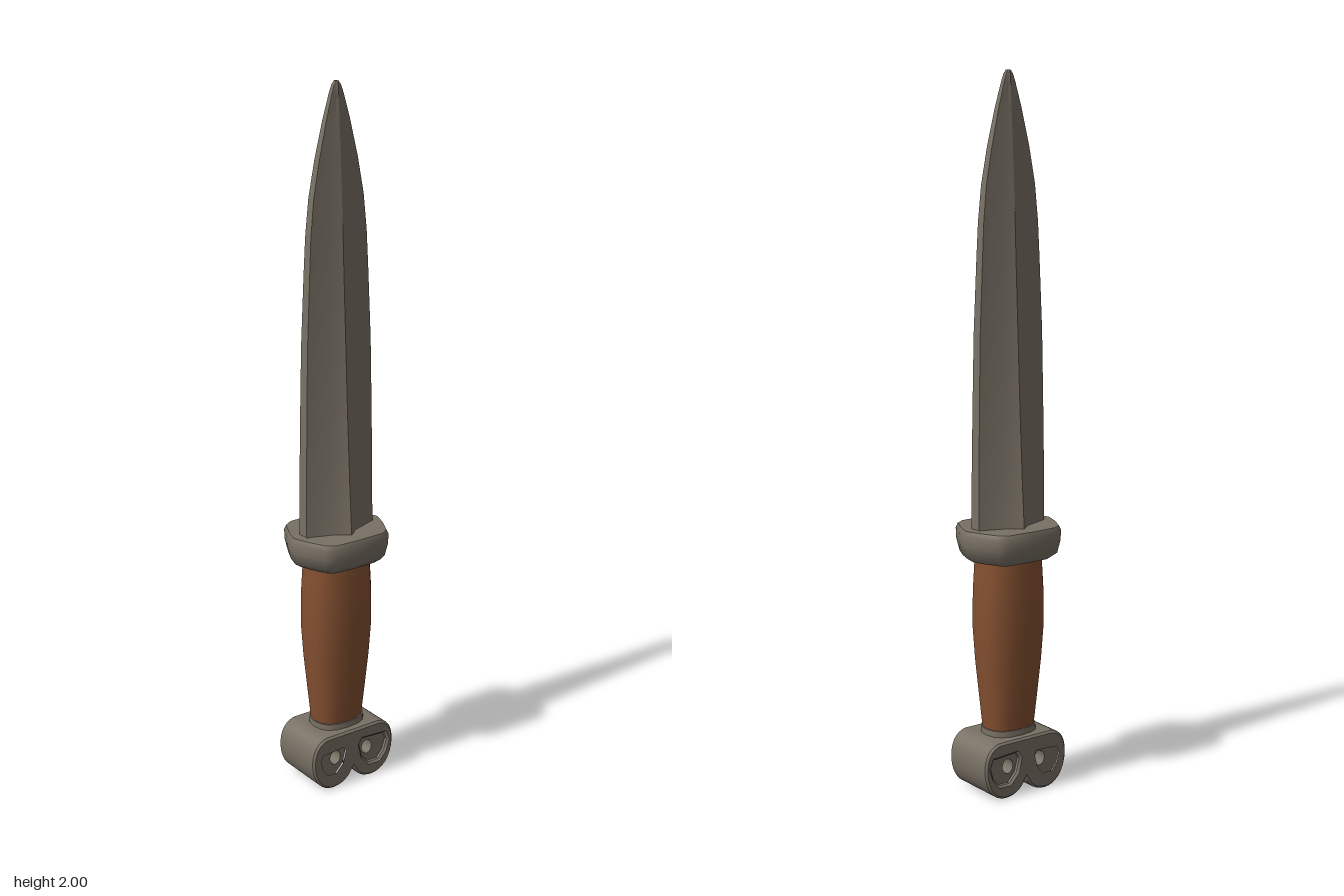
import * as THREE from 'three';
import { toCreasedNormals } from 'three/addons/utils/BufferGeometryUtils.js';

const steel = new THREE.MeshStandardMaterial({ color: 0x787064 });
steel.name = 'steel';
const wood = new THREE.MeshStandardMaterial({ color: 0x845030 });
wood.name = 'wood';

// Closed solid through rings of [x, y, z] (counter-clockwise seen from above)
function loft(rings, crease) {
  const n = rings[0].length, pos = rings.flat(2), index = [];
  for (let i = 0; i < rings.length - 1; i++) {
    for (let j = 0; j < n; j++) {
      const a = i * n + j, b = i * n + (j + 1) % n;
      index.push(a, b, b + n, a, b + n, a + n);
    }
  }
  const top = (rings.length - 1) * n, low = rings.length * n;
  pos.push(0, rings[0][0][1], 0, 0, rings.at(-1)[0][1], 0);
  for (let j = 0; j < n; j++) {
    const k = (j + 1) % n;
    index.push(low, k, j, low + 1, top + j, top + k);
  }
  const g = new THREE.BufferGeometry();
  g.setAttribute('position', new THREE.Float32BufferAttribute(pos, 3));
  g.setIndex(index);
  return toCreasedNormals(g, crease);
}

// Rounded-box section of half width w and half depth d
function oval(y, w, d, n = 16, power = 0.8) {
  return Array.from({ length: n }, (_, i) => {
    const a = (i / n) * Math.PI * 2, c = Math.cos(a), s = Math.sin(a);
    return [w * Math.sign(c) * Math.abs(c) ** power, y, -d * Math.sign(s) * Math.abs(s) ** power];
  });
}

// Blade section: blunt edges and a central ridge on both faces
function bladeRing([y, w, d, e]) {
  const m = e + (d - e) * 0.5;
  const half = [[w, -e], [w * 0.3, -m], [0, -d], [-w * 0.3, -m], [-w, -e]];
  return [...half, ...half.map(([x, z]) => [-x, -z])].map(([x, z]) => [x, y, z]);
}

// Guard section: an eight-sided plate with pointed ends
function guardRing(y, s) {
  const half = [[0.15, 0], [0.135, -0.045], [0.108, -0.1], [0.08, -0.117],
    [0, -0.12], [-0.08, -0.117], [-0.108, -0.1], [-0.135, -0.045]];
  return [...half, ...half.map(([x, z]) => [-x, -z])].map(([x, z]) => [x * s, y, z * s]);
}

// Extrusion centred on z = 0
function slab(shape, depth, bevel) {
  const g = new THREE.ExtrudeGeometry(shape, {
    depth: depth - 2 * bevel, bevelEnabled: bevel > 0, bevelSize: bevel,
    bevelThickness: bevel, bevelOffset: -bevel, bevelSegments: 1, curveSegments: 8,
  });
  g.translate(0, 0, bevel - depth / 2);
  return toCreasedNormals(g, 0.6);
}

// Teardrop outline of one scroll eye, side = +1 or -1
function eye(Base, side, s) {
  const pts = [[0.05, 0.035], [-0.03, 0.04], [-0.04, 0.022], [-0.03, -0.018],
    [-0.005, -0.045], [0.03, -0.045], [0.05, -0.022], [0.06, 0.01]];
  return new Base(pts.map(([x, y]) => new THREE.Vector2(side * (0.062 + x * s), 0.09 + y * s)));
}

export function createModel() {
  const group = new THREE.Group();
  const add = (name, geometry, material) => {
    const mesh = new THREE.Mesh(geometry, material);
    mesh.name = name;
    group.add(mesh);
  };

  // Blade: y, half width, half depth, half edge thickness
  const blade = [[0.74, 0.113, 0.075, 0.018], [0.9, 0.112, 0.064, 0.017], [1.1, 0.109, 0.053, 0.016],
    [1.3, 0.105, 0.044, 0.015], [1.5, 0.096, 0.035, 0.014], [1.6, 0.091, 0.031, 0.013],
    [1.7, 0.081, 0.026, 0.012], [1.8, 0.062, 0.021, 0.011], [1.9, 0.038, 0.015, 0.009],
    [1.97, 0.018, 0.011, 0.007], [1.99, 0.011, 0.009, 0.006], [2, 0.004, 0.007, 0.005]];
  add('blade', loft(blade.map(bladeRing), 0.5), steel);

  // Guard
  add('guard', loft([[0.672, 0.8], [0.685, 0.93], [0.72, 0.99], [0.75, 1], [0.763, 0.96]]
    .map(([y, s]) => guardRing(y, s)), 0.9), steel);

  // Grip, swelling above its middle
  const grip = [[0.17, 0.074, 0.057], [0.26, 0.083, 0.066], [0.38, 0.095, 0.077],
    [0.48, 0.102, 0.083], [0.58, 0.101, 0.081], [0.69, 0.095, 0.075]];
  add('grip', loft(grip.map(([y, w, d]) => oval(y, w, d)), 0.8), wood);
  add('pommelCollar', loft([oval(0.15, 0.08, 0.064), oval(0.182, 0.079, 0.062)], 0.8), steel);

  // Pommel: two scrolls joined on top, with a notch between them below
  const body = new THREE.Shape();
  body.moveTo(0, 0.169);
  body.lineTo(0.09, 0.169);
  body.bezierCurveTo(0.125, 0.165, 0.143, 0.135, 0.141, 0.09);
  body.bezierCurveTo(0.138, 0.04, 0.11, 0.005, 0.07, 0.004);
  body.bezierCurveTo(0.035, 0.004, 0.012, 0.02, 0, 0.05);
  body.bezierCurveTo(-0.012, 0.02, -0.035, 0.004, -0.07, 0.004);
  body.bezierCurveTo(-0.11, 0.005, -0.138, 0.04, -0.141, 0.09);
  body.bezierCurveTo(-0.143, 0.135, -0.125, 0.165, -0.09, 0.169);
  body.closePath();
  body.holes.push(eye(THREE.Path, 1, 1), eye(THREE.Path, -1, 1));
  add('pommel', slab(body, 0.174, 0.006), steel);

  // Sunken scroll eyes, pierced through
  for (const side of [1, -1]) {
    const inner = eye(THREE.Shape, side, 1.1);
    const hole = new THREE.Path();
    hole.absellipse(side * 0.056, 0.092, 0.018, 0.022, 0, Math.PI * 2);
    inner.holes.push(hole);
    add(side > 0 ? 'leftScrollEye' : 'rightScrollEye', slab(inner, 0.145, 0), steel);
  }

  // Stand the lowest point on y = 0
  group.children.forEach((m) => m.name.match(/pommel$|ScrollEye/) && m.position.setY(-0.004));
  return group;
}
